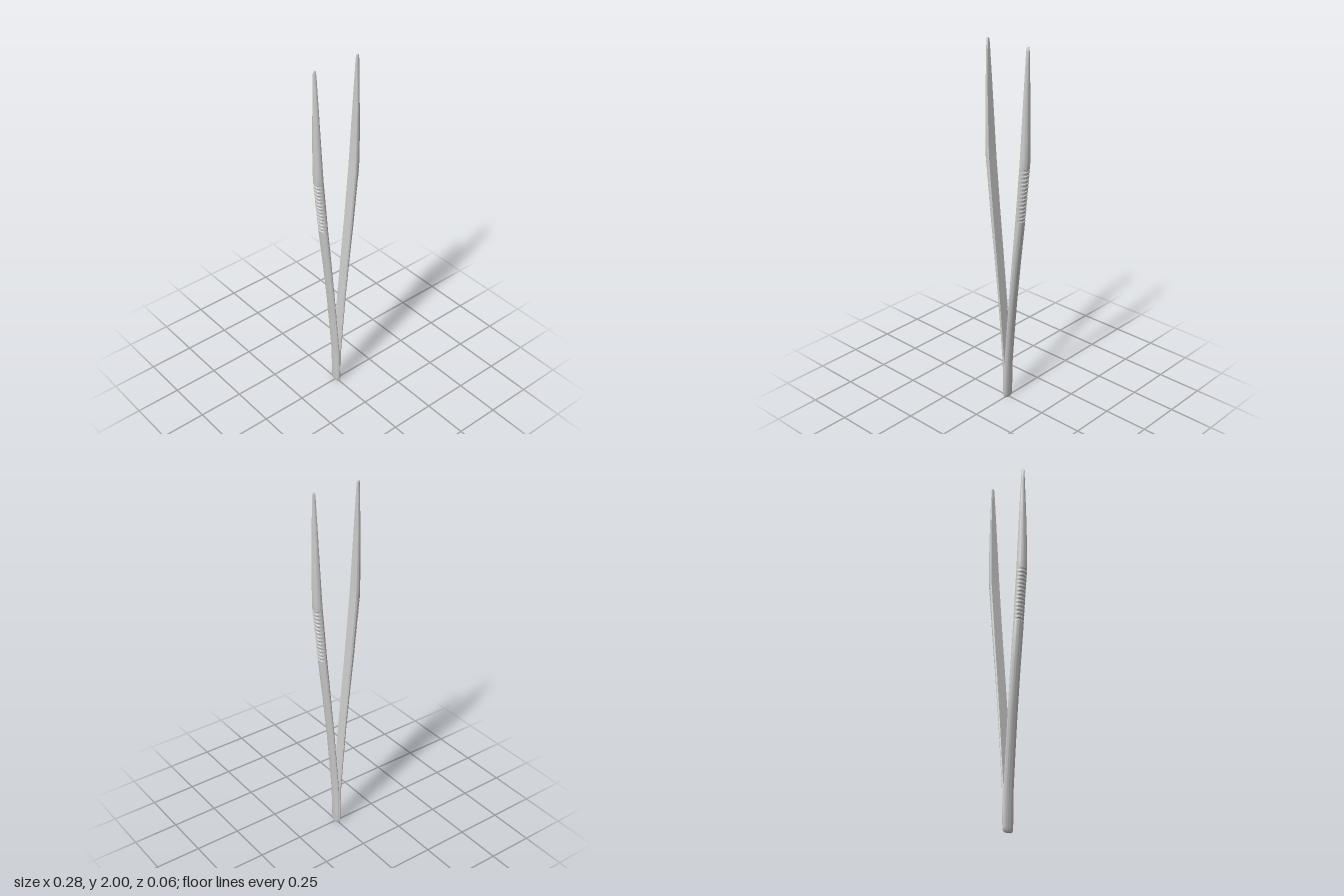
import * as THREE from 'three';
import { toCreasedNormals } from 'three/addons/utils/BufferGeometryUtils.js';

// Stations along one arm: y, inner x, outer x, half width in z
const STATIONS = [
  [0, 0, 0.011, 0.022], [0.006, 0, 0.0125, 0.027], [0.018, 0, 0.0135, 0.03],
  [0.1, 0, 0.016, 0.031], [0.21, 0, 0.02, 0.031], [0.23, 0.001, 0.021, 0.031],
  [0.4, 0.015, 0.034, 0.031], [0.6, 0.031, 0.052, 0.031], [0.85, 0.054, 0.08, 0.031],
  [1.08, 0.076, 0.108, 0.031], [1.38, 0.102, 0.139, 0.031], [1.43, 0.105, 0.14, 0.03],
  [1.52, 0.109, 0.142, 0.0275], [1.62, 0.113, 0.142, 0.0245], [1.72, 0.117, 0.141, 0.021],
  [1.82, 0.12, 0.14, 0.0165], [1.91, 0.123, 0.139, 0.012], [1.96, 0.124, 0.139, 0.009],
  [1.985, 0.125, 0.139, 0.007], [1.996, 0.126, 0.137, 0.005], [2, 0.129, 0.134, 0.003],
];
const GRIP = { from: 1.08, to: 1.38, count: 14, depth: 0.004 };
const ARC = 16;

// Add the grip grooves as extra stations between the two grip stations
function armStations() {
  const rows = [];
  STATIONS.forEach((s, k) => {
    rows.push(s);
    if (s[0] !== GRIP.from) return;
    const next = STATIONS[k + 1];
    for (let i = 0; i < GRIP.count; i++) {
      for (const [f, cut] of [[0.3, 0], [0.5, GRIP.depth], [0.8, GRIP.depth], [0.98, 0]]) {
        const t = (i + f) / GRIP.count;
        const row = s.map((v, j) => v + (next[j] - v) * t);
        row[2] -= cut;
        rows.push(row);
      }
    }
  });
  return rows;
}

// D-shaped section: domed outside, flat inside with small chamfers
function section([y, inner, outer, w], side) {
  const d = outer - inner, s = d * 0.25, ring = [];
  for (let i = 0; i <= ARC; i++) {
    const a = -Math.PI / 2 + (Math.PI * i) / ARC;
    ring.push([side * (inner + s + (d - s) * Math.cos(a)), y, w * Math.sin(a)]);
  }
  ring.push([side * inner, y, w * 0.88], [side * inner, y, -w * 0.88]);
  return ring;
}

function armGeometry(side) {
  const rows = armStations();
  const positions = [], index = [];
  const tri = (a, b, c) => (side > 0 ? index.push(a, b, c) : index.push(a, c, b));
  rows.forEach((r) => section(r, side).forEach((p) => positions.push(...p)));
  const n = ARC + 3, last = (rows.length - 1) * n;
  for (let r = 0; r < rows.length - 1; r++) {
    for (let i = 0; i < n; i++) {
      const a = r * n + i, b = r * n + ((i + 1) % n);
      tri(a, a + n, b);
      tri(b, a + n, b + n);
    }
  }
  // Close both ends
  for (let i = 1; i < n - 1; i++) {
    tri(0, i, i + 1);
    tri(last, last + i + 1, last + i);
  }
  const g = new THREE.BufferGeometry();
  g.setAttribute('position', new THREE.Float32BufferAttribute(positions, 3));
  g.setIndex(index);
  return toCreasedNormals(g, Math.PI / 6);
}

export function createModel() {
  const group = new THREE.Group();
  group.name = 'tweezers';
  const material = new THREE.MeshStandardMaterial({ color: 0xcccccc });
  for (const [name, side] of [['leftArm', 1], ['rightArm', -1]]) {
    const arm = new THREE.Mesh(armGeometry(side), material);
    arm.name = name;
    group.add(arm);
  }
  return group;
}
